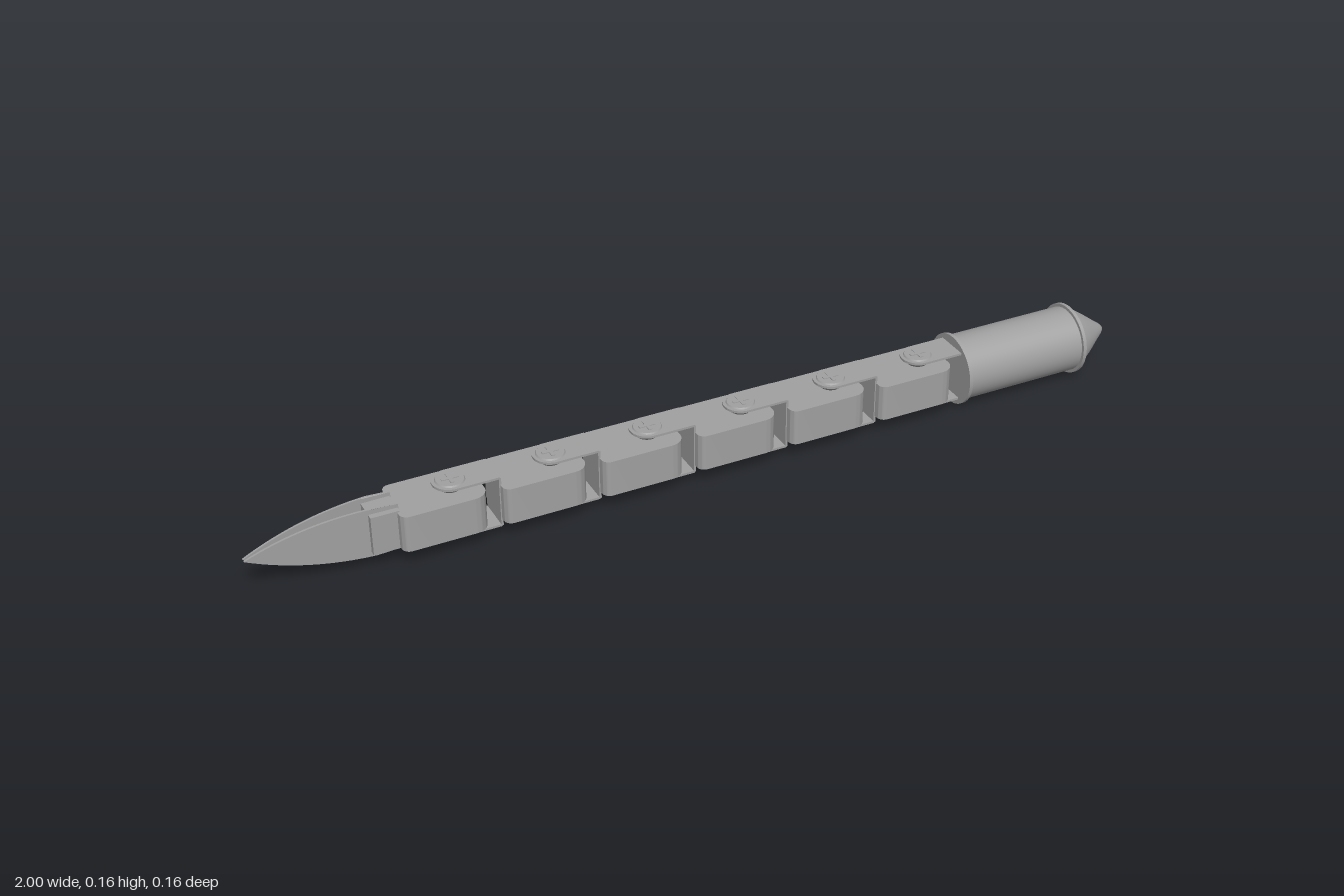
import * as THREE from 'three';
import { toCreasedNormals } from 'three/addons/utils/BufferGeometryUtils.js';

const AXIS_Y = 0.08;
const LINKS = 6;
const PITCH = 0.2165;

export function createModel() {
  const metal = new THREE.MeshStandardMaterial({ color: 0xa0a0a0 });
  const model = new THREE.Group();
  model.name = 'jointedRod';
  const body = new THREE.Group();
  body.name = 'rodBody';
  body.position.y = AXIS_Y;
  model.add(body);

  function add(parent, name, geometry, x = 0, y = 0, z = 0) {
    const mesh = new THREE.Mesh(geometry, metal);
    mesh.name = name;
    mesh.position.set(x, y, z);
    parent.add(mesh);
    return mesh;
  }

  // Plan outline pulled upward and centred on y = 0
  function slab(shape, height) {
    const g = new THREE.ExtrudeGeometry(shape, { depth: height, bevelEnabled: false, curveSegments: 10 });
    g.translate(0, 0, -height / 2);
    g.rotateX(-Math.PI / 2);
    return toCreasedNormals(g, 0.6);
  }

  // Link block: small radius at the left end, large radius at the right end
  const x0 = -0.125, x1 = 0.06, w = 0.063, r = 0.032, s = 0.017;
  const block = new THREE.Shape();
  block.moveTo(x0 + s, -w);
  block.lineTo(x1 - r, -w);
  block.absarc(x1 - r, -w + r, r, -Math.PI / 2, 0);
  block.absarc(x1 - r, w - r, r, 0, Math.PI / 2);
  block.lineTo(x0 + s, w);
  block.absarc(x0 + s, w - s, s, Math.PI / 2, Math.PI);
  block.absarc(x0 + s, -w + s, s, Math.PI, Math.PI * 1.5);
  const blockGeo = slab(block, 0.082);

  // Bracket tongue with a round end about the pivot
  const tw = 0.038, webX = 0.0915;
  const tongue = new THREE.Shape();
  tongue.moveTo(webX, -tw);
  tongue.lineTo(webX, tw);
  tongue.lineTo(0, tw);
  tongue.absarc(0, 0, tw, Math.PI / 2, Math.PI * 1.5);
  const tongueGeo = slab(tongue, 0.005);
  const webGeo = new THREE.BoxGeometry(0.005, 0.114, tw * 2);

  const bossGeo = new THREE.CylinderGeometry(0.037, 0.022, 0.014, 28);
  const headGeo = new THREE.CylinderGeometry(0.029, 0.031, 0.003, 28);
  const crossGeo = new THREE.BoxGeometry(0.036, 0.003, 0.008);

  // Chain of links, each clamped by a bracket and two screws
  for (let i = 0; i < LINKS; i++) {
    const link = new THREE.Group();
    link.name = 'link' + (i + 1);
    link.position.x = -0.572 + i * PITCH;
    body.add(link);
    add(link, 'linkBlock', blockGeo);
    add(link, 'bracketWeb', webGeo, webX, 0, 0);
    for (const side of [1, -1]) {
      const joint = new THREE.Group();
      joint.name = side > 0 ? 'upperJoint' : 'lowerJoint';
      if (side < 0) joint.rotation.x = Math.PI;
      link.add(joint);
      add(joint, 'bracketTongue', tongueGeo, 0, 0.0565, 0);
      add(joint, 'screwBoss', bossGeo, 0, 0.048, 0);
      add(joint, 'screwHead', headGeo, 0, 0.0605, 0);
      add(joint, 'screwCross', crossGeo, 0, 0.062, 0);
      add(joint, 'screwCross', crossGeo, 0, 0.062, 0).rotation.y = Math.PI / 2;
    }
  }

  // Handle: barrel, two rims and a blunt conical nose
  const barrel = new THREE.CylinderGeometry(0.073, 0.073, 0.3, 48).rotateZ(-Math.PI / 2);
  add(body, 'barrel', barrel, 0.752, 0, 0);
  const rim = new THREE.CylinderGeometry(0.08, 0.08, 0.008, 48).rotateZ(-Math.PI / 2);
  add(body, 'innerRim', rim, 0.603, 0, 0);
  add(body, 'outerRim', rim, 0.901, 0, 0);
  const profile = [[0.073, 0.9], [0.073, 0.907], [0.05, 0.942], [0.027, 0.973], [0.015, 0.99], [0.008, 0.998], [0, 1]]
    .map(([radius, y]) => new THREE.Vector2(radius, y));
  const nose = new THREE.LatheGeometry(profile, 48).rotateZ(-Math.PI / 2);
  add(body, 'nose', nose);

  // Clip holding the blade leaves
  add(body, 'bladeClip', new THREE.BoxGeometry(0.06, 0.088, 0.076), -0.722, 0, 0);

  // Two thin pointed leaves that spread toward the clip
  const leaf = new THREE.Shape();
  leaf.moveTo(-1, 0);
  leaf.quadraticCurveTo(-0.88, -0.055, -0.74, -0.055);
  leaf.lineTo(-0.69, -0.052);
  leaf.lineTo(-0.69, 0.052);
  leaf.lineTo(-0.74, 0.055);
  leaf.quadraticCurveTo(-0.88, 0.055, -1, 0);
  for (const side of [1, -1]) {
    const g = new THREE.ExtrudeGeometry(leaf, { depth: 0.005, bevelEnabled: false, curveSegments: 16 });
    const p = g.attributes.position;
    for (let i = 0; i < p.count; i++) {
      const spread = 0.004 + 0.019 * Math.min(1, (p.getX(i) + 1) / 0.26);
      p.setZ(i, p.getZ(i) - 0.0025 + side * spread);
    }
    add(body, side > 0 ? 'frontLeaf' : 'backLeaf', toCreasedNormals(g, 0.5));
  }
  return model;
}
